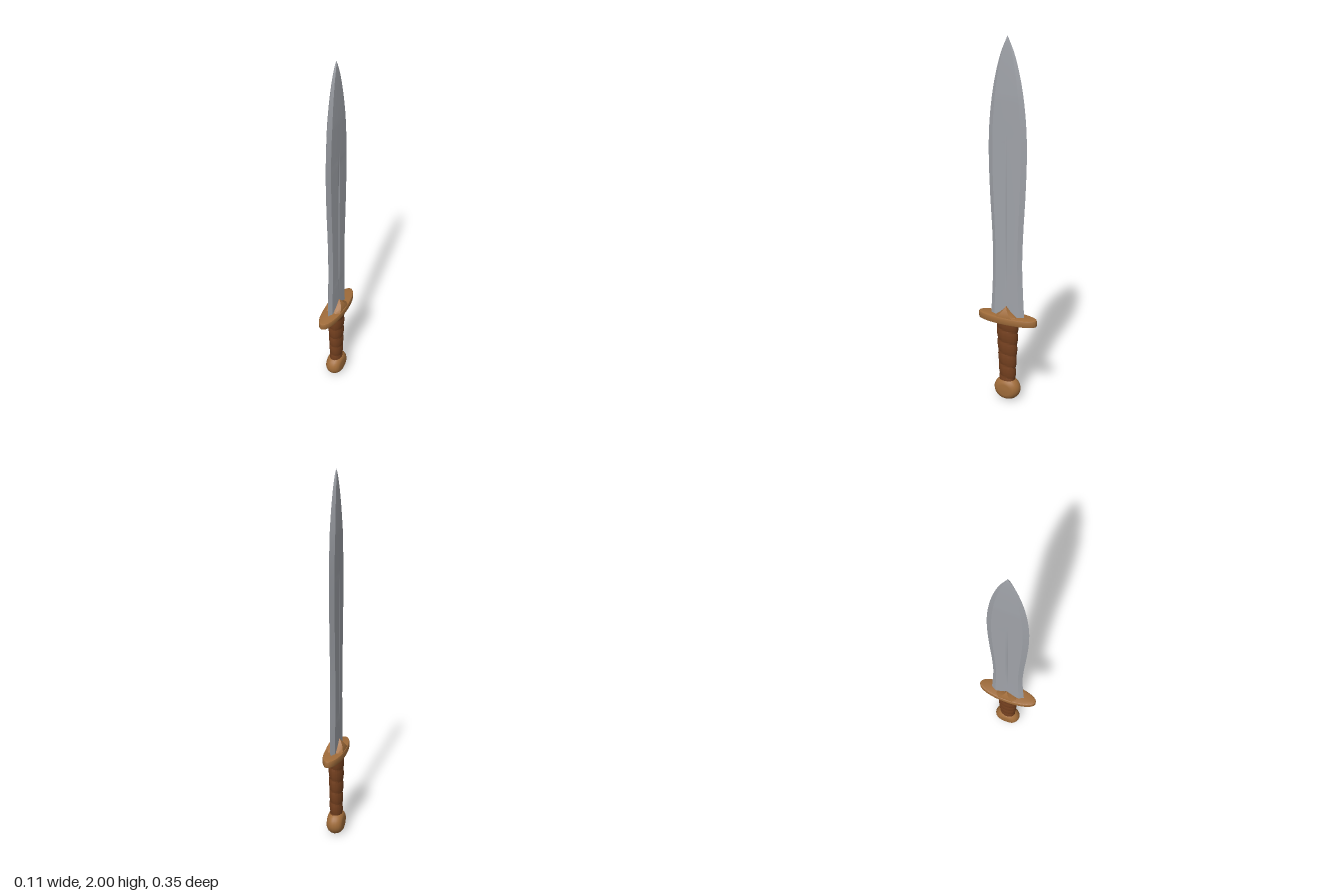
import * as THREE from 'three';
import { toCreasedNormals } from 'three/addons/utils/BufferGeometryUtils.js';

const steel = new THREE.MeshStandardMaterial({ name: 'steel', color: 0xa0a3a9 });
const bronze = new THREE.MeshStandardMaterial({ name: 'bronze', color: 0xa06c3a });
const leather = new THREE.MeshStandardMaterial({ name: 'leather', color: 0x74401f });

// Skin closed rings of [x, y, z] points, stacked from bottom to top
function loft(rings, crease) {
  const n = rings[0].length, index = [];
  for (let j = 0; j < rings.length - 1; j++) {
    for (let i = 0; i < n; i++) {
      const a = j * n + i, b = j * n + (i + 1) % n, c = a + n, d = b + n;
      index.push(a, c, b, b, c, d);
    }
  }
  const geo = new THREE.BufferGeometry();
  geo.setAttribute('position', new THREE.Float32BufferAttribute(rings.flat(2), 3));
  geo.setIndex(index);
  return toCreasedNormals(geo, crease);
}

function part(name, geo, material) {
  const mesh = new THREE.Mesh(geo, material);
  mesh.name = name;
  return mesh;
}

// Leaf-shaped blade: bevelled edges, with a shallow groove down the middle
function bladeGeometry() {
  const outline = new THREE.CatmullRomCurve3([
    [0.49, 0.101], [0.65, 0.092], [0.82, 0.086], [1.0, 0.091], [1.2, 0.102], [1.4, 0.108],
    [1.55, 0.104], [1.7, 0.088], [1.82, 0.065], [1.92, 0.036], [2.0, 0.0005],
  ].map(([y, w]) => new THREE.Vector3(w, y, 0)));
  const rings = outline.getPoints(60).map(({ x: w, y }) => {
    const t = 0.016 * Math.min(1, Math.sqrt(Math.max(0, 2.0 - y) / 0.3)) + 0.0003;
    const groove = y > 0.6 && y < 1.56 ? 0.004 * Math.sin(Math.PI * (y - 0.6) / 0.96) : 0;
    const m = Math.min(0.006, w * 0.2), b = w * 0.74;
    const half = [[t * 0.88, -b], [t, -m], [t - groove, 0], [t, m], [t * 0.88, b]];
    return [[0, y, -w], ...half.map(([x, z]) => [x, y, z]),
      [0, y, w], ...half.map(([x, z]) => [-x, y, -z])];
  });
  return loft(rings, 0.2);
}

// Oval grip with an overlapping spiral wrap
function gripGeometry() {
  const rings = [], rows = 90, sides = 40;
  for (let j = 0; j <= rows; j++) {
    const k = j / rows, y = 0.12 + 0.365 * k, ring = [];
    for (let i = 0; i < sides; i++) {
      const a = i / sides * Math.PI * 2;
      const phase = y / 0.072 - a / (Math.PI * 2);
      const f = phase - Math.floor(phase);
      const bulge = 0.005 * Math.pow(Math.sin(Math.PI * f), 0.5) - 0.004;
      ring.push([
        Math.cos(a) * (0.034 + 0.007 * k + bulge), y,
        Math.sin(a) * (0.046 + 0.019 * k + bulge),
      ]);
    }
    rings.push(ring);
  }
  return loft(rings, 0.6);
}

// Oval crossguard plate with softened rims
function guardGeometry() {
  const shape = new THREE.Shape();
  shape.absellipse(0, 0, 0.047, 0.166, 0, Math.PI * 2);
  const geo = new THREE.ExtrudeGeometry(shape, {
    depth: 0.026, bevelThickness: 0.007, bevelSize: 0.007, bevelSegments: 2, curveSegments: 40,
  });
  geo.rotateX(-Math.PI / 2);
  geo.translate(0, 0.482, 0);
  return toCreasedNormals(geo, 0.6);
}

// Pointed collar rising from the guard on both faces of the blade
function collarGeometry() {
  const levels = [[0.505, 0.05, 0.072], [0.52, 0.048, 0.055], [0.535, 0.043, 0.035],
    [0.553, 0.034, 0.017], [0.567, 0.025, 0.006], [0.575, 0.019, 0.0005]];
  const rings = levels.map(([y, x, z]) => [
    [x, y, -z * 0.7], [x, y, z * 0.7], [x * 0.6, y, z],
    [-x * 0.6, y, z], [-x, y, z * 0.7], [-x, y, -z * 0.7],
    [-x * 0.6, y, -z], [x * 0.6, y, -z],
  ]);
  return loft(rings, 0.5);
}

// Round pommel with flattened cheeks
function pommelGeometry() {
  const profile = [[0, -0.046], [0.036, -0.045], [0.052, -0.041], [0.065, -0.031], [0.074, -0.016],
    [0.077, 0], [0.074, 0.016], [0.065, 0.031], [0.052, 0.041], [0.036, 0.045], [0, 0.046]];
  const geo = new THREE.LatheGeometry(profile.map(([r, y]) => new THREE.Vector2(r, y)), 36);
  geo.rotateZ(Math.PI / 2);
  geo.scale(1, 0.89, 1);
  geo.translate(0, 0.0686, 0);
  return geo;
}

export function createModel() {
  const sword = new THREE.Group();
  sword.name = 'sword';
  sword.add(
    part('blade', bladeGeometry(), steel),
    part('grip', gripGeometry(), leather),
    part('guard', guardGeometry(), bronze),
    part('guardCollar', collarGeometry(), bronze),
    part('pommel', pommelGeometry(), bronze),
  );
  return sword;
}
